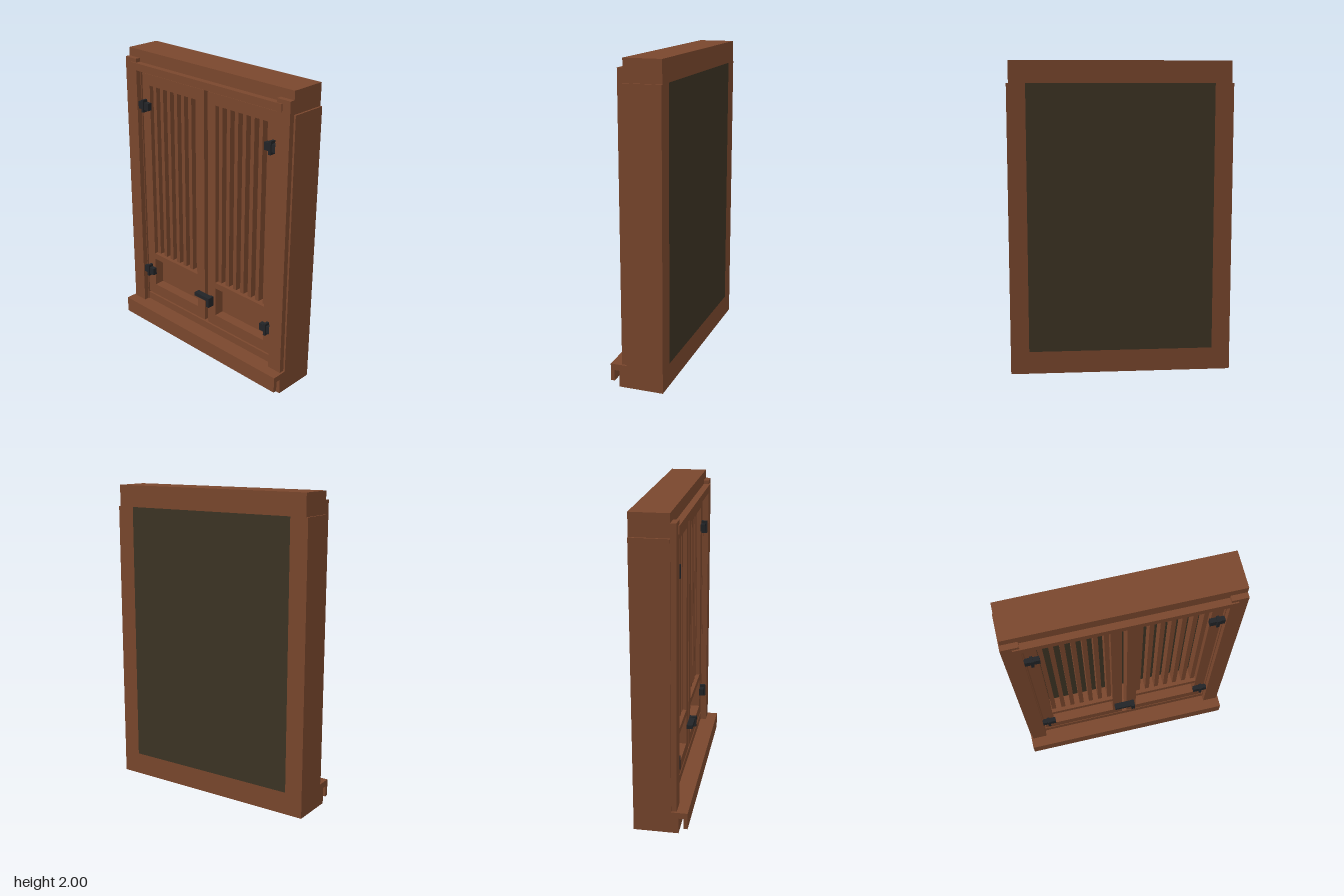
import * as THREE from 'three';

export function createModel() {
  const model = new THREE.Group();
  model.name = 'shutteredWindow';
  const wood = new THREE.MeshStandardMaterial({ name: 'brown wood', color: 0x7a472d });
  const backing = new THREE.MeshStandardMaterial({ name: 'dark olive backing', color: 0x3d3424 });
  const iron = new THREE.MeshStandardMaterial({ name: 'black iron', color: 0x222427 });

  // Box given by its limits on each axis
  function box(parent, name, mat, x0, x1, y0, y1, z0, z1) {
    const mesh = new THREE.Mesh(new THREE.BoxGeometry(x1 - x0, y1 - y0, z1 - z0), mat);
    mesh.position.set((x0 + x1) / 2, (y0 + y1) / 2, (z0 + z1) / 2);
    mesh.name = name;
    parent.add(mesh);
    return mesh;
  }

  // Sill with a drip lip, drawn as a (z, y) profile and extruded along x
  const profile = new THREE.Shape([
    [-0.17, 0], [0.113, 0], [0.113, 0.105], [0.145, 0.105],
    [0.145, 0.035], [0.17, 0.035], [0.17, 0.145], [-0.17, 0.145],
  ].map(([z, y]) => new THREE.Vector2(-z, y)));
  const sillGeo = new THREE.ExtrudeGeometry(profile, { depth: 1.426, bevelEnabled: false });
  sillGeo.translate(0, 0, -0.713).rotateY(Math.PI / 2);
  const sill = new THREE.Mesh(sillGeo, wood);
  sill.name = 'sill';
  model.add(sill);

  // Header, threshold, top bar and back panel
  box(model, 'header', wood, -0.7, 0.7, 1.86, 2, -0.17, 0.066);
  box(model, 'threshold', wood, -0.595, 0.595, 0.145, 0.198, -0.15, 0.06);
  box(model, 'topBar', wood, -0.642, 0.642, 1.872, 1.92, 0.066, 0.108);
  box(model, 'backPanel', backing, -0.595, 0.595, 0.145, 1.86, -0.17, -0.15);

  for (const side of [-1, 1]) {
    // Limits mirrored to the chosen side
    const part = (parent, name, mat, a, b, ...rest) =>
      box(parent, name, mat, Math.min(side * a, side * b), Math.max(side * a, side * b), ...rest);

    part(model, 'post', wood, 0.595, 0.713, 0.145, 1.86, -0.17, 0.066);
    part(model, 'casing', wood, 0.6, 0.7, 0.145, 1.945, 0.066, 0.1);

    // Door frame
    const door = new THREE.Group();
    door.name = side < 0 ? 'rightDoor' : 'leftDoor';
    model.add(door);
    const back = -0.04, front = 0.06;
    part(door, 'innerStile', wood, 0.016, 0.084, 0.21, 1.85, back, front);
    part(door, 'outerStile', wood, 0.518, 0.588, 0.21, 1.85, back, front);
    part(door, 'topRail', wood, 0.084, 0.518, 1.775, 1.85, back, front);
    part(door, 'middleRail', wood, 0.084, 0.518, 0.5, 0.542, back, front);
    part(door, 'bottomRail', wood, 0.084, 0.518, 0.21, 0.29, back, front);
    part(door, 'lowerPanel', wood, 0.084, 0.518, 0.29, 0.5, back, -0.01);

    // Upright slats; the end ones touch the stiles
    for (let i = 0; i < 7; i++) {
      const mid = 0.301 + (i - 3) * 0.0657;
      part(door, 'slat', wood, Math.max(0.084, mid - 0.0145), Math.min(0.518, mid + 0.0145),
        0.542, 1.775, back + 0.01, 0.035);
    }

    // Hinges: leaf and pin
    for (const y of [0.405, 1.635]) {
      const hinge = new THREE.Group();
      hinge.name = 'hinge';
      model.add(hinge);
      part(hinge, 'hingeLeaf', iron, 0.507, 0.6, y - 0.025, y + 0.025, 0.06, 0.09);
      part(hinge, 'hingePin', iron, 0.547, 0.565, y - 0.042, y + 0.042, 0.06, 0.099);
    }
  }

  // Latch across the door gap
  const latch = new THREE.Group();
  latch.name = 'latch';
  model.add(latch);
  box(latch, 'latchBar', iron, -0.074, 0.068, 0.397, 0.424, 0.06, 0.1);
  box(latch, 'latchHandle', iron, 0.043, 0.068, 0.36, 0.43, 0.06, 0.108);

  return model;
}
